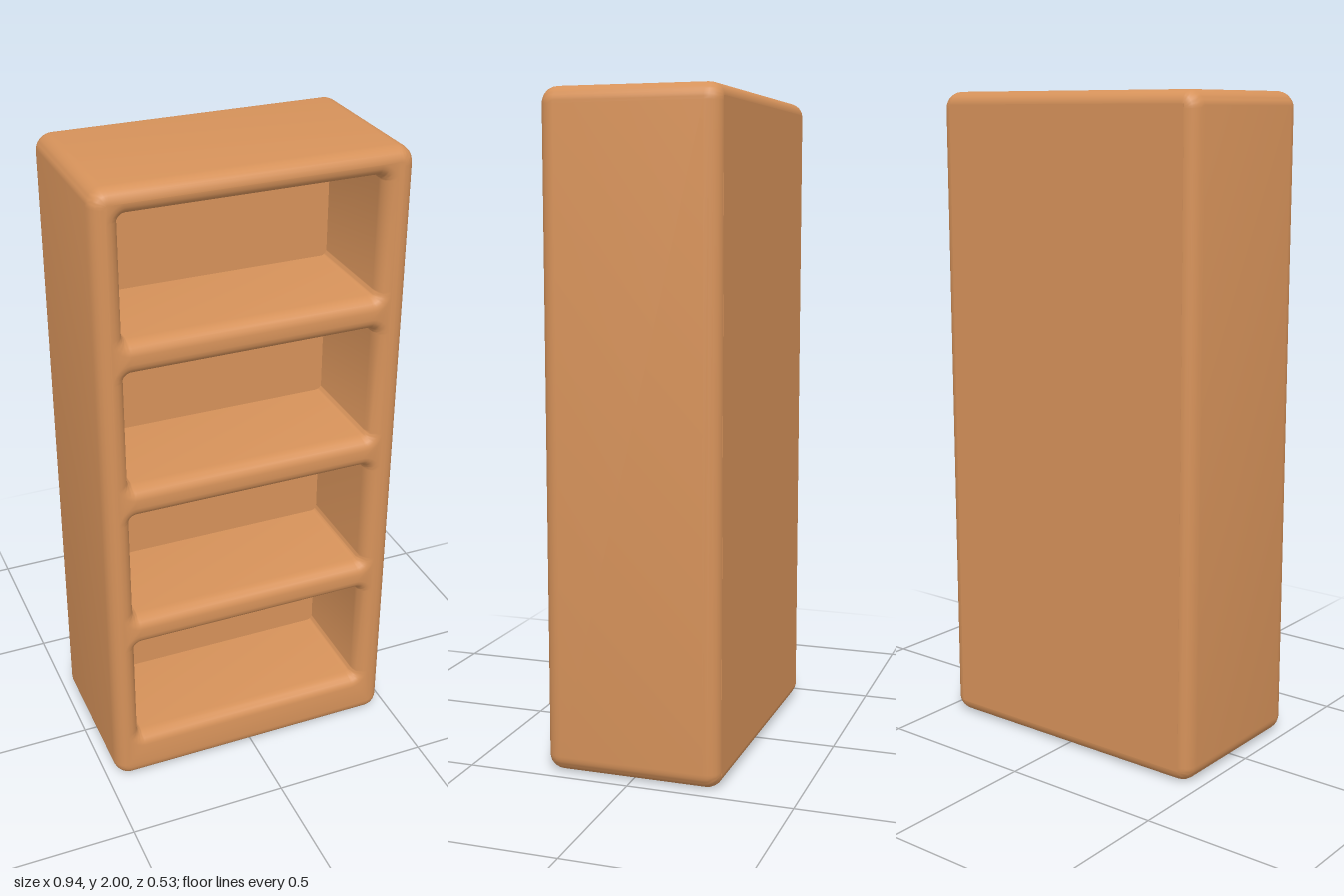
import * as THREE from 'three';
import { toCreasedNormals } from 'three/addons/utils/BufferGeometryUtils.js';

const W = 0.944, H = 2, D = 0.534;     // outer size
const BEVEL = 0.038, ROUND = 0.046;    // edge rounding across and along z
const BACK_Z = -0.083;                 // depth of the compartments

// Adds a rounded rectangle to a shape or path
function roundedRect(path, x0, y0, x1, y1, r) {
  path.moveTo(x0 + r, y0);
  path.lineTo(x1 - r, y0);
  path.absarc(x1 - r, y0 + r, r, -Math.PI / 2, 0);
  path.lineTo(x1, y1 - r);
  path.absarc(x1 - r, y1 - r, r, 0, Math.PI / 2);
  path.lineTo(x0 + r, y1);
  path.absarc(x0 + r, y1 - r, r, Math.PI / 2, Math.PI);
  path.lineTo(x0, y0 + r);
  path.absarc(x0 + r, y0 + r, r, Math.PI, Math.PI * 1.5);
  return path;
}

export function createModel() {
  const group = new THREE.Group();
  group.name = 'bookcase';
  const wood = new THREE.MeshStandardMaterial({ color: 0xd6925a });
  wood.name = 'warm wood';

  // Frame with four openings, softly rounded at every edge
  const outline = roundedRect(new THREE.Shape(), -W / 2, 0, W / 2, H, 0.05);
  for (let i = 0; i < 4; i++) {
    const y = 0.155 + i * 0.467;
    outline.holes.push(roundedRect(new THREE.Path(), -0.391, y, 0.379, y + 0.366, 0.02));
  }
  const frameGeometry = new THREE.ExtrudeGeometry(outline, {
    depth: D - 2 * ROUND, curveSegments: 5, bevelEnabled: true, bevelSegments: 5,
    bevelSize: BEVEL, bevelOffset: -BEVEL, bevelThickness: ROUND,
  });
  frameGeometry.translate(0, 0, -D / 2 + ROUND);
  const frame = new THREE.Mesh(toCreasedNormals(frameGeometry, 0.7), wood);
  frame.name = 'frameWithShelves';
  group.add(frame);

  // Thick back that closes the compartments and lies flush with the rear
  const depth = BACK_Z + D / 2 + 0.0005;
  const back = new THREE.Mesh(
    new THREE.BoxGeometry(W - 2 * BEVEL, H - 2 * BEVEL, depth), wood);
  back.position.set(0, H / 2, BACK_Z - depth / 2);
  back.name = 'backPanel';
  group.add(back);

  return group;
}
